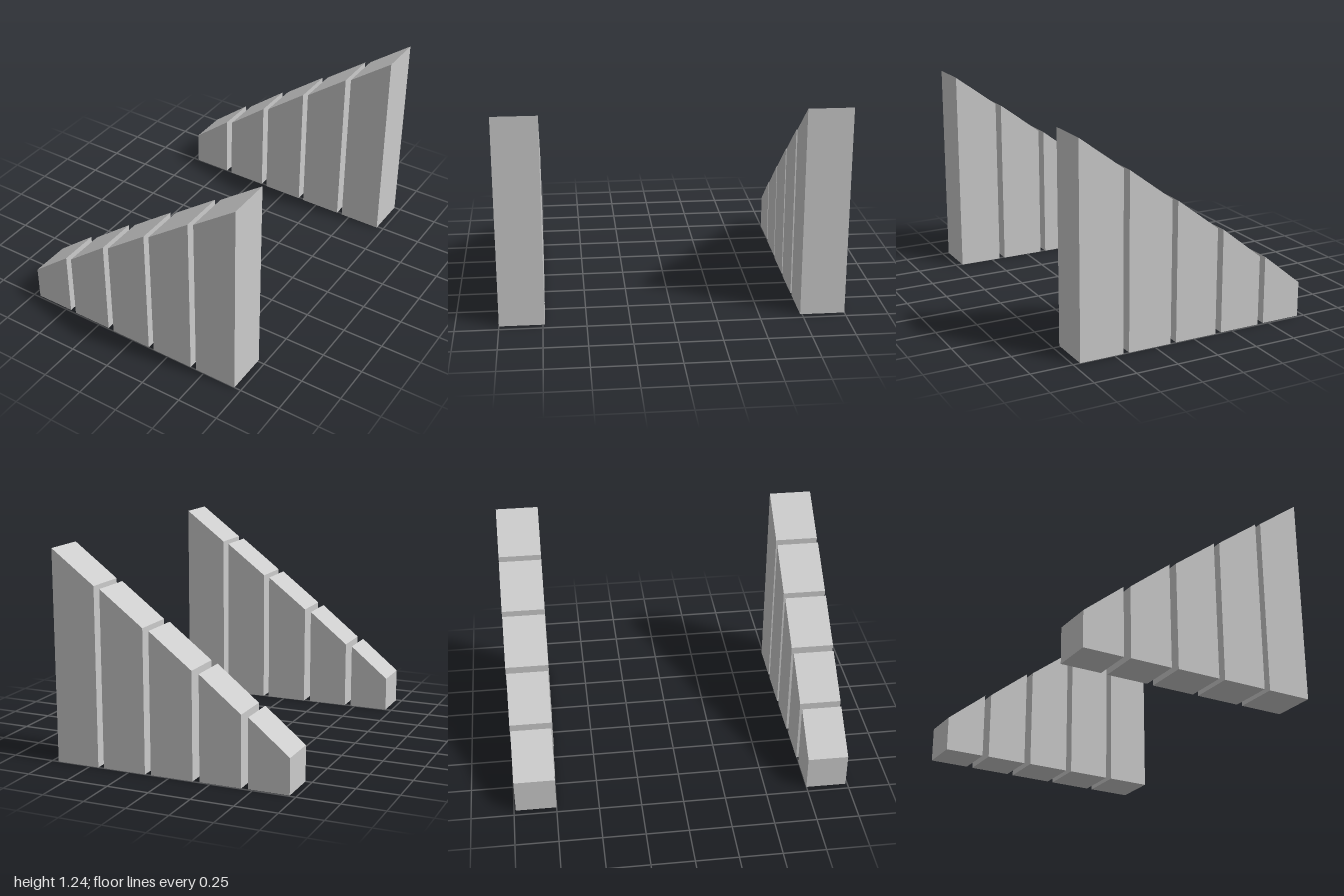
import * as THREE from 'three';

// Each block: left edge x, width (also its depth), low and high top height
const BLOCKS = [
  [-0.711, 0.240, 0.209, 0.404],
  [-0.431, 0.248, 0.415, 0.612],
  [-0.143, 0.257, 0.627, 0.823],
  [0.150, 0.261, 0.836, 1.032],
  [0.447, 0.261, 1.046, 1.240],
];
const ROW_Z = 0.8695;

// Square-plan block with a sloping top
function slopedBlock(x, size, low, high) {
  const profile = new THREE.Shape();
  profile.moveTo(x, 0);
  profile.lineTo(x + size, 0);
  profile.lineTo(x + size, high);
  profile.lineTo(x, low);
  profile.closePath();
  const geometry = new THREE.ExtrudeGeometry(profile, { depth: size, bevelEnabled: false });
  return geometry.translate(0, 0, -size / 2);
}

export function createModel() {
  const model = new THREE.Group();
  model.name = 'steppedRampWalls';
  const material = new THREE.MeshStandardMaterial({ color: 0xcccccc, flatShading: true });

  // Two identical rows, front and back
  for (const [name, z] of [['frontRow', ROW_Z], ['backRow', -ROW_Z]]) {
    const row = new THREE.Group();
    row.name = name;
    row.position.z = z;
    BLOCKS.forEach((block, i) => {
      const mesh = new THREE.Mesh(slopedBlock(...block), material);
      mesh.name = `slopedBlock${i + 1}`;
      row.add(mesh);
    });
    model.add(row);
  }
  return model;
}
